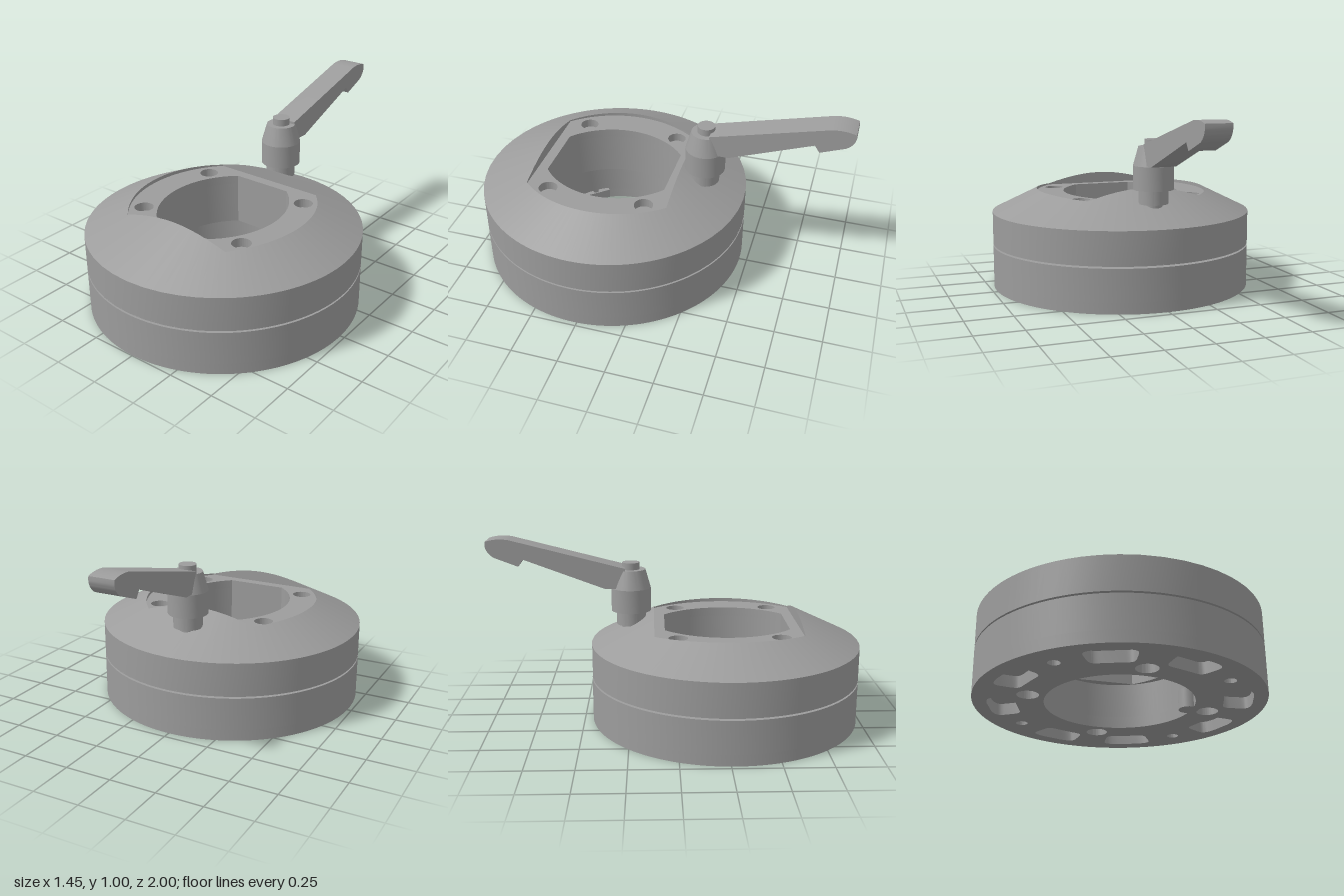
import * as THREE from 'three';
import { toCreasedNormals } from 'three/addons/utils/BufferGeometryUtils.js';

const metal = new THREE.MeshStandardMaterial({ color: 0x9c9c9c });
metal.name = 'grey metal';

function add(parent, name, geometry, x = 0, y = 0, z = 0) {
  const mesh = new THREE.Mesh(geometry, metal);
  mesh.name = name;
  mesh.position.set(x, y, z);
  parent.add(mesh);
  return mesh;
}

// Closed outline with two flat ends (at +-h) and two bulging sides
function flattedCircle(cx, R, h, n = 32, m = 12) {
  const pts = [];
  const a = Math.asin(h / R);
  const flat = cx + R * Math.cos(a);
  for (const s of [1, -1]) {
    for (let i = 0; i < n; i++) {
      const t = -a + (2 * a * i) / n;
      pts.push(new THREE.Vector2(s * (cx + R * Math.cos(t)), s * R * Math.sin(t)));
    }
    for (let i = 0; i < m; i++) pts.push(new THREE.Vector2(s * flat * (1 - (2 * i) / m), s * h));
  }
  return pts;
}

function circle(r, x = 0, y = 0) {
  return new THREE.Path().absarc(x, y, r, 0, Math.PI * 2);
}

// Rounded sector-shaped pocket outline
function sectorPocket(angle) {
  const pts = [];
  const soft = (v) => Math.sign(v) * Math.pow(Math.abs(v), 0.4);
  for (let i = 0; i < 32; i++) {
    const t = ((i + 0.5) / 32) * Math.PI * 2;
    const r = 0.585 + 0.072 * soft(Math.sin(t));
    const a = angle + 0.2 * soft(Math.cos(t));
    pts.push(new THREE.Vector2(r * Math.cos(a), r * Math.sin(a)));
  }
  return new THREE.Path(pts);
}

// Horizontal plate from y0 to y1 with cut-outs
function plate(outline, holes, y0, y1) {
  const shape = new THREE.Shape(outline);
  shape.holes.push(...holes);
  const g = new THREE.ExtrudeGeometry(shape, { depth: y1 - y0, bevelEnabled: false, curveSegments: 48 });
  g.rotateX(-Math.PI / 2).translate(0, y0, 0);
  return toCreasedNormals(g, 0.4);
}

const R = 0.727;
const disc = (r) => circle(r).getPoints(96).slice(0, -1);

// Conical top and the upright wall of its recess, lofted around the outline
function conicalTop(outline, floorY) {
  const pos = [], idx = [];
  const n = outline.length;
  for (const p of outline) {
    const rho = p.length();
    const k = R / rho;
    const top = 0.425 + 0.486 * (R - rho);
    pos.push(p.x * k, 0.245, -p.y * k, p.x * k, 0.425, -p.y * k);
    pos.push(p.x, top, -p.y, p.x, floorY, -p.y);
  }
  for (let i = 0; i < n; i++) {
    for (let j = 0; j < 3; j++) {
      const a = i * 4 + j, b = ((i + 1) % n) * 4 + j;
      idx.push(a, b, b + 1, a, b + 1, a + 1);
    }
  }
  const g = new THREE.BufferGeometry();
  g.setAttribute('position', new THREE.Float32BufferAttribute(pos, 3));
  g.setIndex(idx);
  return toCreasedNormals(g, 0.35);
}

export function createModel() {
  const model = new THREE.Group();
  model.name = 'clampRing';
  const body = new THREE.Group();
  body.name = 'ringBody';
  body.position.z = 0.27;
  model.add(body);

  // Base ring: underside plate with pockets and holes, then the solid ring
  const bore = 0.375;
  const cuts = [circle(bore)];
  for (let q = 0; q < 4; q++) {
    const a = (q * Math.PI) / 2, d = a + Math.PI / 4;
    cuts.push(circle(0.055, 0.46 * Math.cos(a), 0.46 * Math.sin(a)));
    cuts.push(circle(0.03, 0.59 * Math.cos(d), 0.59 * Math.sin(d)));
    cuts.push(sectorPocket(d - 0.45), sectorPocket(d + 0.45));
  }
  add(body, 'undersidePlate', plate(disc(R), cuts, 0, 0.06));
  add(body, 'baseRing', plate(disc(R), [circle(bore)], 0.06, 0.235));
  add(body, 'gapRing', plate(disc(0.577), [circle(bore)], 0.235, 0.245));

  // Small lugs inside the bore
  add(body, 'boreLug', new THREE.CylinderGeometry(0.05, 0.05, 0.1, 32), 0.36, 0.05, 0);
  const tabShape = [[-0.08, 0.345], [0.08, 0.345], [0.08, 0.4], [-0.08, 0.4]].map((p) => new THREE.Vector2(...p));
  const tab = add(body, 'boreTab', plate(tabShape, [circle(0.018, 0, 0.368)], 0.015, 0.07));
  tab.rotation.y = Math.PI * 0.72;

  // Upper ring: recess floor with four holes, core, underside and conical top
  const recess = flattedCircle(-0.08, 0.555, 0.387);
  const opening = () => new THREE.Path(flattedCircle(-0.109, 0.43, 0.331));
  const floorHoles = [opening()];
  for (const sx of [-1, 1]) for (const sz of [-1, 1]) floorHoles.push(circle(0.05, sx * 0.32, sz * 0.265));
  const floorY = 0.528;
  add(body, 'recessFloor', plate(recess, floorHoles, 0.48, floorY));
  add(body, 'upperCore', plate(recess, [opening()], 0.25, 0.48));
  add(body, 'upperUnderside', plate(disc(R - 0.001), [opening()], 0.245, 0.25));
  add(body, 'conicalTop', conicalTop(recess, floorY));

  // Clamping lever
  const lever = new THREE.Group();
  lever.name = 'clampLever';
  lever.position.z = -0.24;
  model.add(lever);
  const hubProfile = [
    [0, 0.45], [0.05, 0.45], [0.05, 0.525], [0.078, 0.525], [0.078, 0.6], [0.106, 0.6],
    [0.106, 0.725], [0.078, 0.825], [0, 0.825],
  ].map((p) => new THREE.Vector2(...p));
  add(lever, 'leverHub', toCreasedNormals(new THREE.LatheGeometry(hubProfile, 48), 0.2));
  add(lever, 'leverScrew', new THREE.CylinderGeometry(0.046, 0.046, 0.06, 32), 0, 0.832, 0);

  // Handle profile: u runs backwards from the hub axis, v is height
  const s = new THREE.Shape();
  s.moveTo(0.03, 0.73);
  s.lineTo(0.137, 0.73);
  s.lineTo(0.565, 0.89);
  s.quadraticCurveTo(0.575, 0.875, 0.59, 0.852);
  s.lineTo(0.715, 0.9);
  s.quadraticCurveTo(0.755, 0.925, 0.76, 0.965);
  s.lineTo(0.758, 0.985);
  s.quadraticCurveTo(0.7, 1.004, 0.635, 0.993);
  s.lineTo(0.03, 0.838);
  const handle = new THREE.ExtrudeGeometry(s, { depth: 0.136, bevelEnabled: false, curveSegments: 10 });
  handle.translate(0, 0, -0.068).rotateY(Math.PI / 2);
  add(lever, 'leverHandle', toCreasedNormals(handle, 0.4));

  return model;
}
